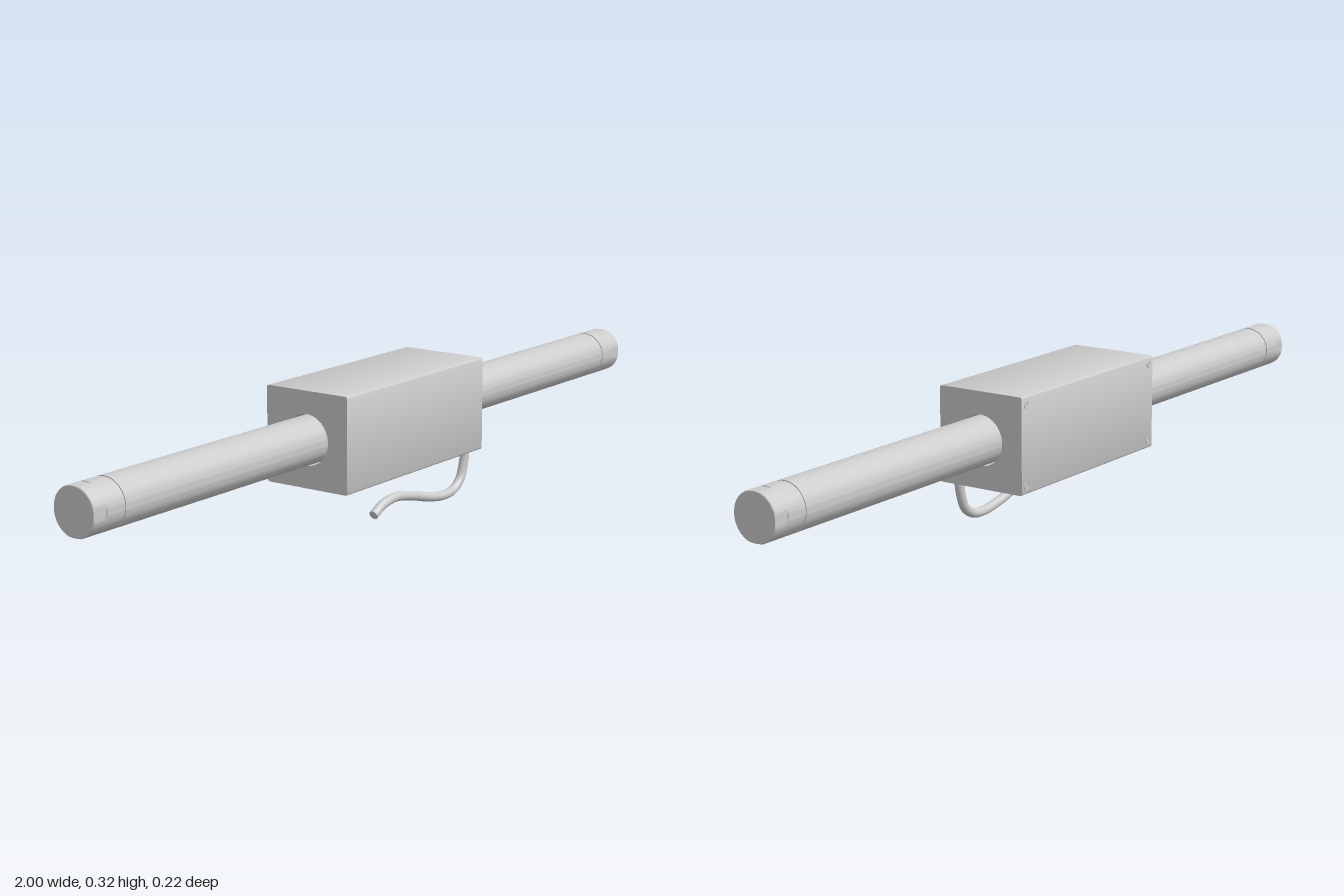
import * as THREE from 'three';
import { toCreasedNormals } from 'three/addons/utils/BufferGeometryUtils.js';

const AXIS_Y = 0.212;
const material = new THREE.MeshStandardMaterial({ color: 0xcccccc });

function add(parent, name, geometry, x = 0, y = 0, z = 0) {
  const mesh = new THREE.Mesh(geometry, material);
  mesh.name = name;
  mesh.position.set(x, y, z);
  parent.add(mesh);
  return mesh;
}

// Block with softened long edges and a through bore for the rod
function housingGeometry() {
  const half = 0.11, r = 0.005, c = half - r, length = 0.53;
  const shape = new THREE.Shape();
  [[c, c], [-c, c], [-c, -c], [c, -c]].forEach(([x, y], i) =>
    shape.absarc(x, y, r, i * Math.PI / 2, (i + 1) * Math.PI / 2, false));
  const bore = new THREE.Path();
  bore.absarc(0, 0, 0.058, 0, Math.PI * 2, true);
  shape.holes.push(bore);
  const g = new THREE.ExtrudeGeometry(shape, { depth: length, bevelEnabled: false, curveSegments: 32 });
  g.translate(0, 0, -length / 2);
  g.rotateY(Math.PI / 2);
  return toCreasedNormals(g, 0.5);
}

// Round rod with a groove and shallow wrench flats near each end
function rodGeometry() {
  const R = 0.0545, flat = 0.0525, flatStart = 0.963;
  const end = [[0.91, R], [0.91, 0.0525], [0.916, 0.0525], [0.916, R],
    [flatStart, R], [flatStart + 0.0005, R], [0.998, R], [1, 0.0525], [1, 0]];
  const points = [
    ...end.slice().reverse().map(([x, r]) => new THREE.Vector2(r, -x)),
    ...end.map(([x, r]) => new THREE.Vector2(r, x)),
  ];
  const g = new THREE.LatheGeometry(points, 64);
  const p = g.attributes.position;
  for (let i = 0; i < p.count; i++) {
    if (Math.abs(p.getY(i)) <= flatStart + 0.0001) continue;
    p.setX(i, THREE.MathUtils.clamp(p.getX(i), -flat, flat));
    p.setZ(i, THREE.MathUtils.clamp(p.getZ(i), -flat, flat));
  }
  g.rotateZ(-Math.PI / 2);
  return toCreasedNormals(g, 0.2);
}

// Loose cable leaving the underside, with closed ends
function addCable(parent) {
  const radius = 0.011, z = 0.082;
  const path = new THREE.CatmullRomCurve3([
    [0.236, 0.115], [0.231, 0.075], [0.215, 0.035], [0.185, 0.015], [0.145, 0.011], [0.085, 0.02],
    [0.02, 0.037], [-0.045, 0.048], [-0.095, 0.041], [-0.13, 0.024],
  ].map(([x, y]) => new THREE.Vector3(x, y, z)));
  const cable = new THREE.Group();
  cable.name = 'cable';
  add(cable, 'cableSheath', new THREE.TubeGeometry(path, 80, radius, 20));
  const tip = add(cable, 'cableEnd', new THREE.CircleGeometry(radius, 20));
  tip.position.copy(path.getPoint(1));
  tip.quaternion.setFromUnitVectors(new THREE.Vector3(0, 0, 1), path.getTangent(1));
  parent.add(cable);
}

export function createModel() {
  const model = new THREE.Group();
  model.name = 'linearActuator';
  add(model, 'housing', housingGeometry(), 0, AXIS_Y, 0);
  add(model, 'rod', rodGeometry(), 0, AXIS_Y, 0);

  // Screws at the corners of the back face
  for (const sx of [-1, 1]) for (const sy of [-1, 1]) {
    const x = sx * 0.248, y = AXIS_Y + sy * 0.092;
    const head = new THREE.CylinderGeometry(0.005, 0.005, 0.002, 20).rotateX(Math.PI / 2);
    add(model, 'screwHead', head, x, y, -0.11);
    add(model, 'screwRim', new THREE.TorusGeometry(0.0075, 0.0012, 6, 24), x, y, -0.11);
  }

  addCable(model);
  return model;
}
